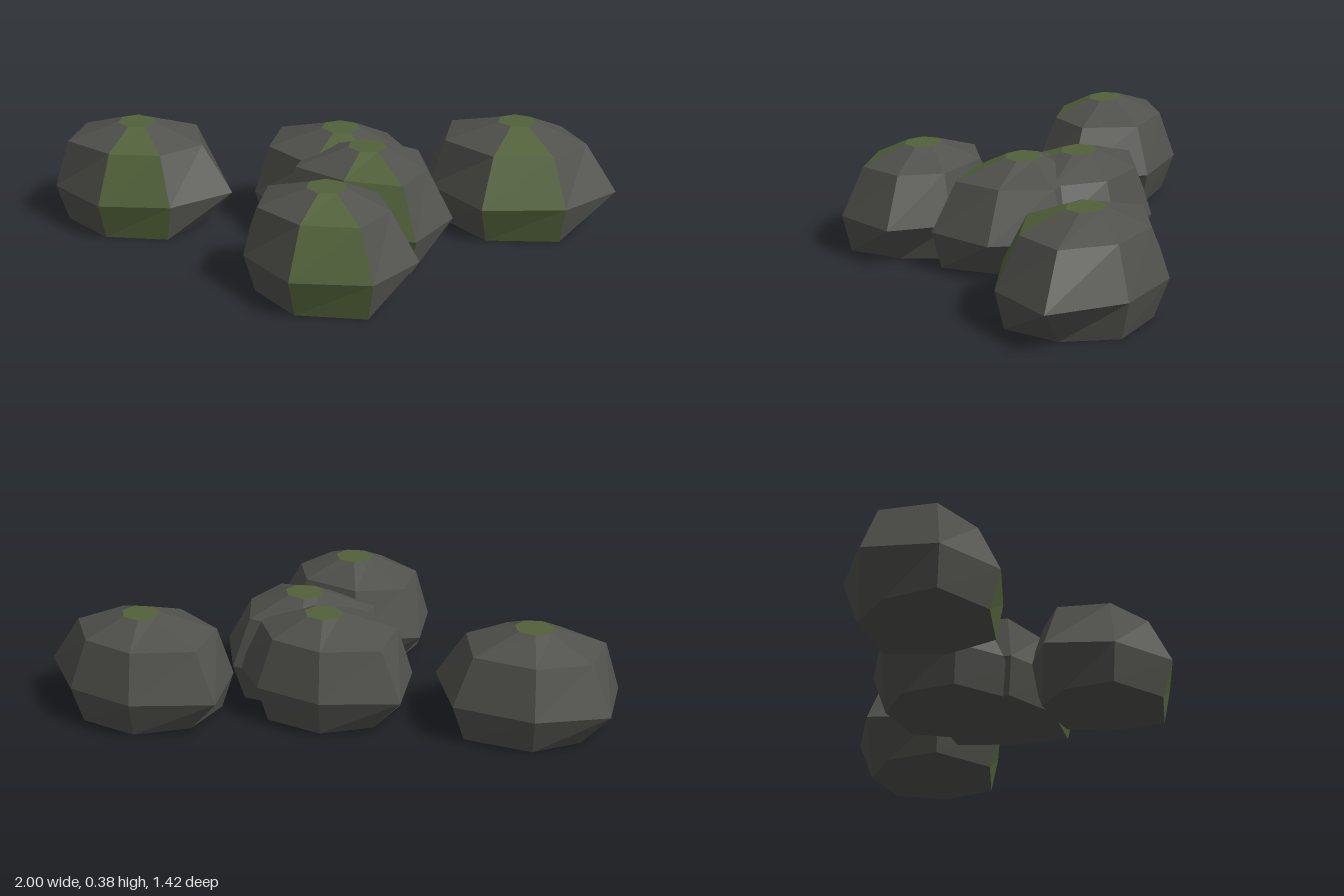
import * as THREE from 'three';

const SIDES = 7;
const LEVELS = [0, 0.138, 0.315, 0.38];

// Shrink of the foot and shoulder rings relative to the widest ring, per corner
const FOOT = [0.66, 0.9, 0.85, 0.86, 0.65, 0.82, 0.85];
const SHOULDER = [0.69, 0.73, 0.7, 0.83, 0.75, 0.78, 0.76];

// Centre and widest outline (x, z offsets from the centre) of each stone
const STONES = [
  { name: 'leftmostStone', at: [-0.66, 0.15],
    ring: [[0.37, -0.05], [0.235, 0.18], [-0.01, 0.28], [-0.26, 0.175], [-0.34, -0.07], [-0.13, -0.245], [0.175, -0.28]] },
  { name: 'backStone', at: [0.62, -0.465],
    ring: [[0.378, -0.06], [0.267, 0.19], [-0.01, 0.325], [-0.277, 0.176], [-0.378, -0.085], [-0.12, -0.25], [0.15, -0.24]] },
  { name: 'frontStone', at: [0.25, 0.42],
    ring: [[0.325, -0.055], [0.26, 0.187], [-0.005, 0.29], [-0.245, 0.155], [-0.34, -0.08], [-0.14, -0.225], [0.155, -0.22]] },
  { name: 'middleBackStone', at: [0.053, -0.123],
    ring: [[0.37, -0.055], [0.267, 0.19], [-0.01, 0.345], [-0.272, 0.176], [-0.368, -0.08], [-0.122, -0.235], [0.144, -0.23]] },
  { name: 'middleStone', at: [0.22, 0.01],
    ring: [[0.32, -0.043], [0.283, 0.213], [-0.005, 0.28], [-0.26, 0.18], [-0.33, -0.08], [-0.133, -0.225], [0.155, -0.256]] },
];

function facetMesh(name, points, material) {
  const geometry = new THREE.BufferGeometry().setFromPoints(points);
  geometry.computeVertexNormals();
  const mesh = new THREE.Mesh(geometry, material);
  mesh.name = name;
  return mesh;
}

function makeStone({ name, at, ring }, stoneMat, mossMat) {
  // Four stacked rings: foot, widest, shoulder, crown
  const scaled = (k, y) => ring.map(([x, z], i) => new THREE.Vector3(x * k[i], y, z * k[i]));
  const crown = ring.map((_, i) => {
    const a = Math.PI / 2 + (i - 2) * 2 * Math.PI / SIDES;
    return new THREE.Vector3(Math.cos(a) * 0.075, LEVELS[3], Math.sin(a) * 0.068);
  });
  const rings = [
    scaled(FOOT, LEVELS[0]),
    scaled(Array(SIDES).fill(1), LEVELS[1]),
    scaled(SHOULDER, LEVELS[2]),
    crown,
  ];
  const body = [], moss = [];
  const bottom = new THREE.Vector3(0, 0, 0);
  const top = new THREE.Vector3(0, LEVELS[3], 0);
  for (let i = 0; i < SIDES; i++) {
    const j = (i + 1) % SIDES;
    // One front column is mossy, the others bare
    const target = i === 1 ? moss : body;
    for (let r = 0; r < 3; r++) {
      const lo = rings[r], hi = rings[r + 1];
      target.push(lo[i], hi[i], lo[j], lo[j], hi[i], hi[j]);
    }
    body.push(bottom, rings[0][i], rings[0][j]);
    moss.push(top, crown[j], crown[i]);
  }
  const stone = new THREE.Group();
  stone.name = name;
  stone.position.set(at[0], 0, at[1]);
  stone.add(facetMesh('stoneBody', body, stoneMat), facetMesh('mossStrip', moss, mossMat));
  return stone;
}

export function createModel() {
  const stoneMat = new THREE.MeshStandardMaterial({ color: 0x50504c });
  stoneMat.name = 'dark stone';
  const mossMat = new THREE.MeshStandardMaterial({ color: 0x526239 });
  mossMat.name = 'moss green';

  const model = new THREE.Group();
  model.name = 'mossyStones';
  for (const s of STONES) model.add(makeStone(s, stoneMat, mossMat));
  return model;
}
